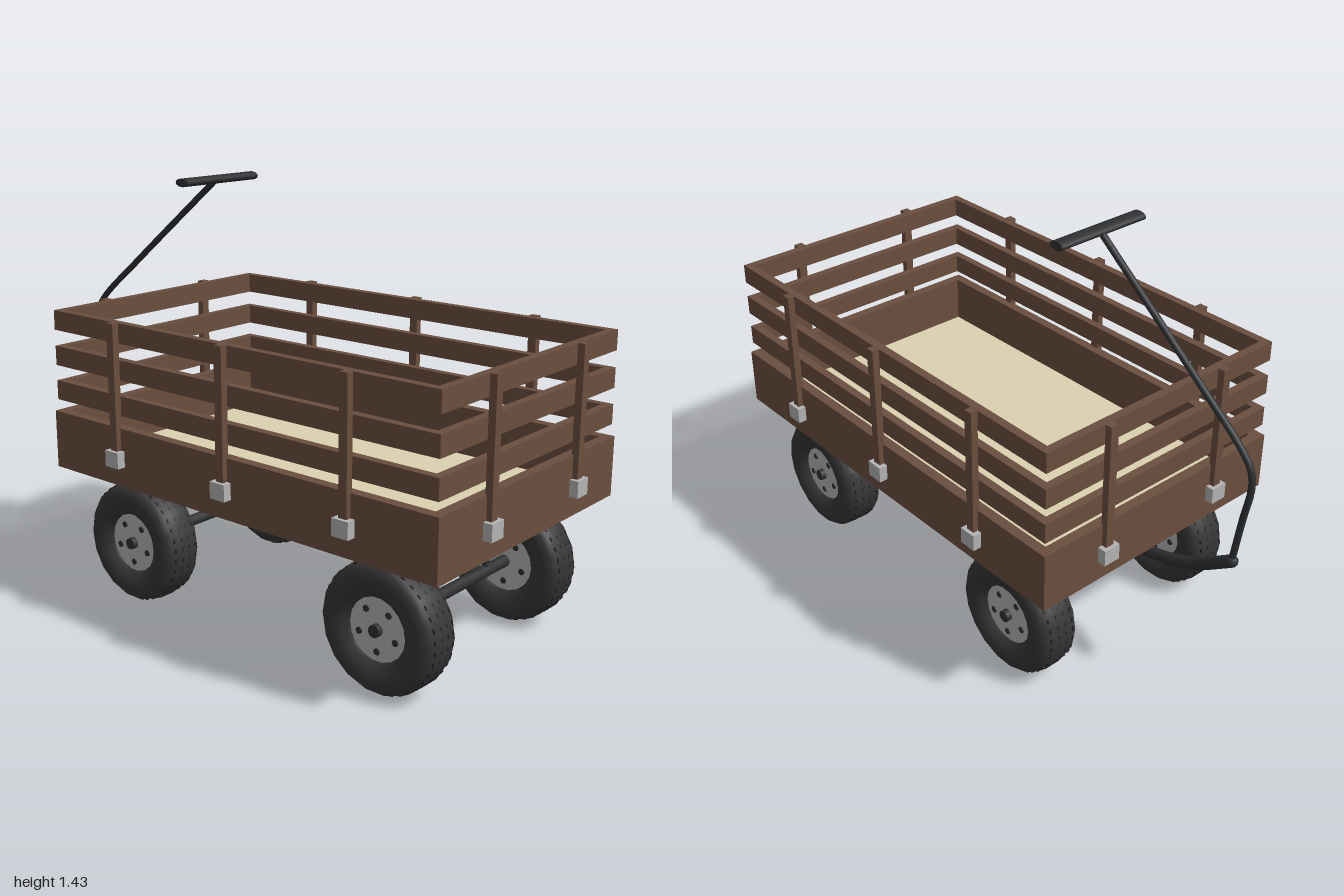
import * as THREE from 'three';
import { mergeGeometries, toCreasedNormals } from 'three/addons/utils/BufferGeometryUtils.js';

const mat = (color, extra = {}) => new THREE.MeshStandardMaterial({ color, ...extra });
const wood = mat(0x6b4f3f);
const cream = mat(0xdcd2b0);
const rubber = mat(0x363636, { side: THREE.DoubleSide });
const black = mat(0x1c1c1c);
const iron = mat(0x2e3032);
const steel = mat(0xb4b4b4);

const W = 0.975, L = 1.59; // outer size of the bed

function add(parent, name, geometry, material, x = 0, y = 0, z = 0) {
  const mesh = new THREE.Mesh(geometry, material);
  mesh.name = name;
  mesh.position.set(x, y, z);
  parent.add(mesh);
  return mesh;
}
const box = (w, h, d) => new THREE.BoxGeometry(w, h, d);
const rodX = (r, len, sides = 14) => new THREE.CylinderGeometry(r, r, len, sides).rotateZ(Math.PI / 2);

// Four boards forming a rectangular ring
function boardRing(parent, name, w, l, y0, y1, t) {
  const h = y1 - y0, y = (y0 + y1) / 2;
  for (const s of [-1, 1]) {
    add(parent, name, box(t, h, l), wood, s * (w - t) / 2, y, 0);
    add(parent, name, box(w - 2 * t, h, t), wood, 0, y, s * (l - t) / 2);
  }
}

// Upright stake with its steel bracket, outward along local +z
function stake() {
  const g = new THREE.Group();
  g.name = 'stake';
  add(g, 'stakePost', box(0.03, 0.44, 0.024), wood, 0, 0.78, 0.006);
  add(g, 'stakeBracket', box(0.06, 0.055, 0.03), steel, 0, 0.547, 0.015);
  return g;
}

function wheel() {
  const g = new THREE.Group();
  g.name = 'wheel';
  // Tyre: half profile mirrored across the wheel plane
  const half = [[0.1, 0.045], [0.108, 0.058], [0.125, 0.066], [0.132, 0.072], [0.165, 0.075],
    [0.19, 0.068], [0.203, 0.054], [0.209, 0.028]];
  const profile = [
    ...half.map(([r, w]) => new THREE.Vector2(r, -w)),
    ...half.slice().reverse().map(([r, w]) => new THREE.Vector2(r, w)),
  ];
  const tyre = toCreasedNormals(new THREE.LatheGeometry(profile, 18).rotateZ(Math.PI / 2), 0.7);
  add(g, 'tyre', tyre, rubber);

  // Tread slots, laid over the tyre's facets
  const slots = [];
  for (const [x, r] of [[-0.045, 0.2035], [-0.015, 0.2055], [0.015, 0.2055], [0.045, 0.2035]]) {
    for (let i = 0; i < 36; i++) {
      const slot = box(0.005, 0.004, 0.014).translate(x, r - 0.0005, 0);
      slots.push(slot.rotateX(((i + 0.5) / 36) * Math.PI * 2));
    }
  }
  add(g, 'treadSlots', mergeGeometries(slots), black);

  // Rim disc with five bolts and a hub on each face
  add(g, 'rim', rodX(0.102, 0.096, 24), steel);
  for (const s of [-1, 1]) {
    for (let i = 0; i < 5; i++) {
      const a = -Math.PI / 2 + (i / 5) * Math.PI * 2;
      add(g, 'wheelBolt', rodX(0.011, 0.006, 8), iron, s * 0.049, 0.07 * Math.sin(a), 0.07 * Math.cos(a));
    }
    add(g, 'hubCap', rodX(0.02, 0.022), iron, s * 0.056, 0, 0);
  }
  return g;
}

function tube(points, radius) {
  const curve = new THREE.CatmullRomCurve3(points.map(([z, y]) => new THREE.Vector3(0, y, z)), false, 'centripetal');
  return new THREE.TubeGeometry(curve, 40, radius, 10);
}

export function createModel() {
  const model = new THREE.Group();
  model.name = 'wagon';

  // Bed
  boardRing(model, 'bedWall', W, L, 0.45, 0.65, 0.035);
  add(model, 'bedBottom', box(W - 0.07, 0.02, L - 0.07), wood, 0, 0.46, 0);
  add(model, 'bedFloor', box(W - 0.07, 0.012, L - 0.07), cream, 0, 0.476, 0);

  // Slatted sides
  for (const y of [0.69, 0.81, 0.932]) boardRing(model, 'slat', W - 0.015, L - 0.015, y, y + 0.067, 0.028);

  // Stakes: three on each long side, two on each end
  const place = (x, z, turn) => {
    const s = stake();
    s.position.set(x, 0, z);
    s.rotation.y = turn;
    model.add(s);
  };
  for (const s of [-1, 1]) {
    for (const z of [-0.48, 0, 0.48]) place(s * W / 2, z, s * Math.PI / 2);
    for (const x of [-0.24, 0.24]) place(x, s * L / 2, s > 0 ? 0 : Math.PI);
  }

  // Axles, struts and wheels
  for (const z of [-0.525, 0.525]) {
    add(model, 'axle', rodX(0.02, 0.7), iron, 0, 0.21, z);
    for (const s of [-1, 1]) {
      add(model, 'axleStrut', new THREE.CylinderGeometry(0.01, 0.01, 0.25, 10), iron, s * 0.18, 0.33, z);
      const w = wheel();
      w.position.set(s * 0.345, 0.209, z);
      model.add(w);
    }
  }

  // Pull handle: heavy drawbar, thin bent shaft, cross grip
  add(model, 'drawbar', tube([[-0.4, 0.38], [-0.64, 0.385], [-0.79, 0.407], [-0.94, 0.46], [-1.085, 0.555]], 0.02), iron);
  add(model, 'drawbarCap', new THREE.SphereGeometry(0.02, 10, 8), iron, 0, 0.38, -0.4);
  add(model, 'drawbarCap', new THREE.SphereGeometry(0.02, 10, 8), iron, 0, 0.555, -1.085);
  add(model, 'handleShaft', tube([[-1.083, 0.55], [-1.107, 0.72], [-1.126, 0.84], [-1.118, 0.895],
    [-1.08, 0.945], [-0.9, 1.092], [-0.49, 1.415]], 0.011), iron);
  const grip = add(model, 'handleGrip', rodX(0.014, 0.34), iron, 0, 1.418, -0.48);
  grip.scale.z = 2;

  // The wagon stands turned by ten degrees
  model.rotation.y = Math.PI / 18;
  model.position.z = 0.125;
  const root = new THREE.Group();
  root.name = 'wagonRoot';
  root.add(model);
  return root;
}
